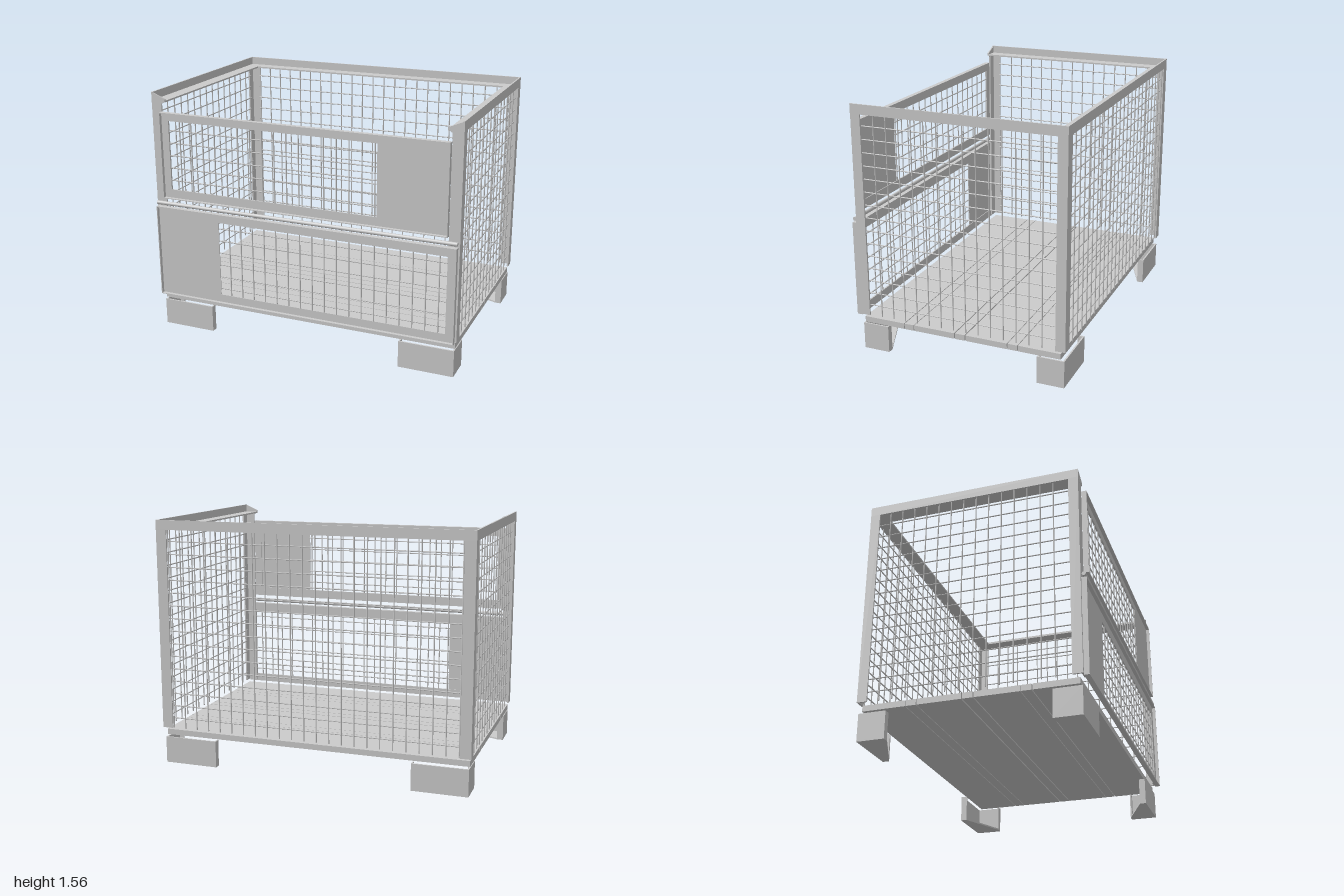
import * as THREE from 'three';

const steel = new THREE.MeshStandardMaterial({ color: 0xcccccc });
const T = 0.01; // sheet thickness
const PITCH = 0.0806; // wire mesh spacing
const WIRE = 0.004;

function add(parent, name, geometry, x = 0, y = 0, z = 0) {
  const mesh = new THREE.Mesh(geometry, steel);
  mesh.name = name;
  mesh.position.set(x, y, z);
  parent.add(mesh);
  return mesh;
}

// Box given by its two limits on each axis
function box(parent, name, [x0, x1], [y0, y1], [z0, z1]) {
  const geometry = new THREE.BoxGeometry(Math.abs(x1 - x0), y1 - y0, Math.abs(z1 - z0));
  add(parent, name, geometry, (x0 + x1) / 2, (y0 + y1) / 2, (z0 + z1) / 2);
}

// Round rod along one axis, from a to b
function rod(parent, name, axis, a, b, position, radius = WIRE, sides = 6) {
  const geometry = new THREE.CylinderGeometry(radius, radius, b - a, sides);
  if (axis === 'x') geometry.rotateZ(Math.PI / 2);
  if (axis === 'z') geometry.rotateX(Math.PI / 2);
  const mesh = add(parent, name, geometry, ...position);
  mesh.position[axis] = (a + b) / 2;
}

// Values from start in steps of the mesh pitch
const steps = (start, count) => Array.from({ length: count }, (_, i) => start + i * PITCH);

function polygon(points) {
  return new THREE.Shape(points.map(([x, y]) => new THREE.Vector2(x, y)));
}

function extrude(shape, depth) {
  return new THREE.ExtrudeGeometry(shape, { depth, bevelEnabled: false });
}

function group(parent, name) {
  const g = new THREE.Group();
  g.name = name;
  parent.add(g);
  return g;
}

// Floor: wide boards alternating with narrow ones
function buildFloor(root) {
  const floor = group(root, 'floor');
  const boards = [[0.632, 0.363], [0.358, 0.297], [0.293, 0.025], [0.019, -0.043],
    [-0.05, -0.317], [-0.321, -0.383], [-0.387, -0.652]];
  for (const z of boards) box(floor, 'floorBoard', [-0.988, 0.987], [0.18, 0.216], z);
}

// Corner foot: two outer plates with return lips on a cut-off base plate
function buildFoot(root, sx, zOuter, zInner) {
  const foot = group(root, 'foot');
  const dz = Math.sign(zOuter);
  const xo = 0.987 * sx, xi = 0.638 * sx, h = [0, 0.17];
  box(foot, 'footLongPlate', [xi, xo], h, [zOuter, zOuter - dz * T]);
  box(foot, 'footSidePlate', [xo, xo - sx * T], h, [zOuter, zInner]);
  box(foot, 'footLongLip', [xi, xi + sx * T], h, [zOuter, zOuter - dz * 0.04]);
  box(foot, 'footSideLip', [xo, xo - sx * 0.04], h, [zInner, zInner + dz * T]);
  const base = polygon([[xo, -zOuter], [xi, -zOuter], [xi, -zOuter + dz * 0.04],
    [xo - sx * 0.04, -zInner], [xo, -zInner]]);
  add(foot, 'footBase', extrude(base, T).rotateX(-Math.PI / 2));
}

// Angle-section posts and top rails, open at the front
function buildFrame(root) {
  const frame = group(root, 'frame');
  const y = [0.235, 1.505];
  for (const s of [1, -1]) {
    for (const [zo, zi] of [[0.652, 0.591], [-0.684, -0.623]]) {
      box(frame, 'postSideFlange', [s, s * (1 - T)], y, [zo, zi]);
      box(frame, 'postEndFlange', [s, s * 0.932], y, [zo, zo - Math.sign(zo) * T]);
    }
    box(frame, 'sideRailWall', [s, s * (1 - T)], [1.5, 1.56], [-0.684, 0.652]);
    box(frame, 'sideRailFlange', [s, s * 0.906], [1.5, 1.51], [-0.684, 0.652]);
    // Gusset closing the front end of the rail
    const gusset = polygon([[s, 1.56], [s * 0.906, 1.52], [s * 0.906, 1.505],
      [s * 0.935, 1.488], [s, 1.488]]);
    add(frame, 'railGusset', extrude(gusset, T), 0, 0, 0.643);
  }
  box(frame, 'backRailWall', [-1, 1], [1.5, 1.56], [-0.684, -0.674]);
  box(frame, 'backRailFlange', [-1, 1], [1.5, 1.51], [-0.684, -0.592]);
}

// Wire mesh on the sides and the back, spanning between the posts
function buildMesh(root) {
  const mesh = group(root, 'wireMesh');
  const rows = steps(0.3, 15);
  for (const s of [1, -1]) {
    for (const y of rows) rod(mesh, 'sideWireRow', 'z', -0.625, 0.593, [s * 0.982, y, 0]);
    for (const z of steps(s > 0 ? -0.537 : -0.552, 14)) {
      rod(mesh, 'sideWireUpright', 'y', 0.235, 1.5, [s * 0.988, 0, z]);
    }
  }
  for (const y of rows) rod(mesh, 'backWireRow', 'x', -0.935, 0.935, [0, y, -0.666]);
  for (const x of steps(-11.5 * PITCH, 24)) {
    rod(mesh, 'backWireUpright', 'y', 0.235, 1.5, [x, 0, -0.672]);
  }
}

// Front panel: frame with a forward rim, part sheet and part wire mesh.
// The opening [ox0, ox1] holds the sheet over [sx0, sx1] and wire over [wx0, wx1].
function buildPanel(root, name, { outerX, outerY, openX, openY, sheetX, wireX, firstColumn, firstRow }) {
  const panel = group(root, name);
  const zBack = 0.653, zFace = 0.663, zFront = 0.685, rim = 0.005;
  const [x0, x1] = outerX, [y0, y1] = outerY, [ox0, ox1] = openX, [oy0, oy1] = openY;
  const border = polygon([[x0, y0], [x1, y0], [x1, y1], [x0, y1]]);
  border.holes.push(polygon([[ox0, oy0], [ox0, oy1], [ox1, oy1], [ox1, oy0]]));
  add(panel, 'panelFrame', extrude(border, zFace - zBack), 0, 0, zBack);
  box(panel, 'panelSheet', sheetX, openY, [zFace - 0.005, zFace]);
  for (const y of [y0, y1 - rim]) box(panel, 'panelRim', outerX, [y, y + rim], [zFace, zFront]);
  for (const x of [x0, x1 - rim]) {
    box(panel, 'panelRim', [x, x + rim], [y0 + rim, y1 - rim], [zFace, zFront]);
  }
  for (const x of steps(firstColumn, 30).filter((v) => v < wireX[1])) {
    rod(panel, 'panelWireUpright', 'y', oy0, oy1, [x, 0, 0.659]);
  }
  for (const y of steps(firstRow, 10).filter((v) => v < oy1)) {
    rod(panel, 'panelWireRow', 'x', ...wireX, [0, y, 0.655]);
  }
}

export function createModel() {
  const root = new THREE.Group();
  root.name = 'meshBoxPallet';
  buildFloor(root);
  for (const s of [1, -1]) {
    buildFoot(root, s, 0.645, 0.475);
    buildFoot(root, s, -0.675, -0.505);
  }
  buildFrame(root);
  buildMesh(root);
  buildPanel(root, 'upperFrontPanel', {
    outerX: [-0.935, 0.932], outerY: [0.887, 1.442], openX: [-0.883, 0.88], openY: [0.945, 1.388],
    sheetX: [0.497, 0.88], wireX: [-0.883, 0.497], firstColumn: -10 * PITCH, firstRow: 1.005,
  });
  buildPanel(root, 'lowerFrontPanel', {
    outerX: [-0.991, 0.99], outerY: [0.225, 0.826], openX: [-0.935, 0.933], openY: [0.28, 0.765],
    sheetX: [-0.935, -0.556], wireX: [-0.556, 0.933], firstColumn: -6 * PITCH, firstRow: 0.321,
  });
  // Hinge rod between the two panels
  rod(root, 'hingeRod', 'x', -0.99, 0.99, [0, 0.85, 0.668], 0.012, 16);
  return root;
}
